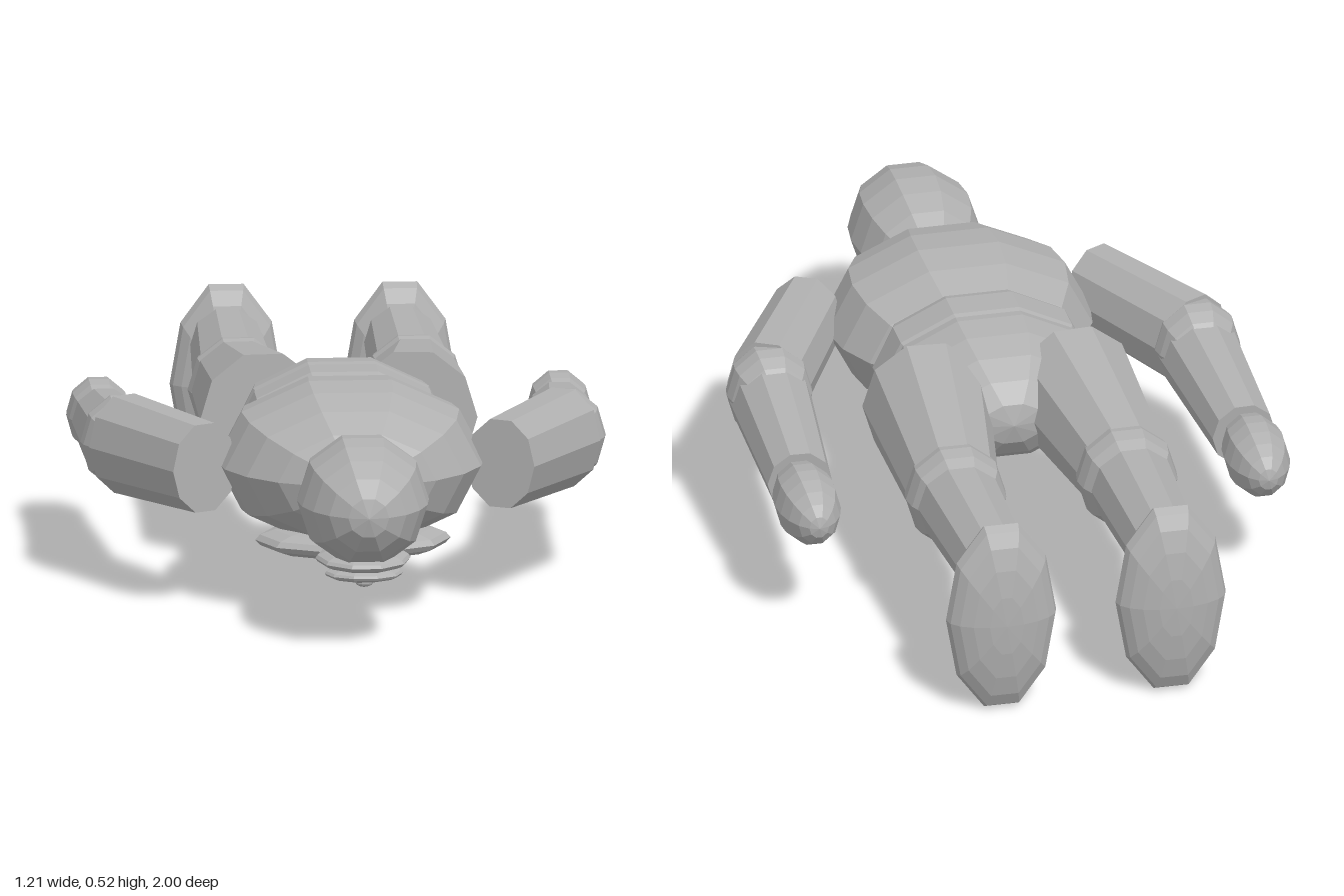
import * as THREE from 'three';

const SIDES = 10;

export function createModel() {
  const model = new THREE.Group();
  model.name = 'lyingFigure';
  const grey = new THREE.MeshStandardMaterial({ color: 0xb0b0b0 });
  grey.name = 'plain grey';
  grey.flatShading = true;

  function add(name, geometry, position) {
    const mesh = new THREE.Mesh(geometry, grey);
    mesh.name = name;
    mesh.position.set(...position);
    model.add(mesh);
    return mesh;
  }

  // Faceted ellipsoid, with its poles along the body (z) or upright (y)
  function ellipsoid(name, position, radii, pole = 'z') {
    const g = new THREE.SphereGeometry(1, SIDES, SIDES);
    if (pole === 'z') g.rotateX(Math.PI / 2);
    g.scale(...radii);
    return add(name, g, position);
  }

  // Tapered limb from one point to another; tall stretches its section in y
  function limb(name, from, to, r1, r2, tall = 1) {
    const a = new THREE.Vector3(...from);
    const b = new THREE.Vector3(...to);
    const g = new THREE.CylinderGeometry(r2, r1, a.distanceTo(b), SIDES);
    g.rotateY(Math.PI / 2).rotateX(Math.PI / 2).scale(1, tall, 1);
    const mesh = add(name, g, a.clone().add(b).multiplyScalar(0.5).toArray());
    mesh.lookAt(b);
    return mesh;
  }

  // Head, with the face turned down
  ellipsoid('head', [0, 0.33, 0.785], [0.152, 0.152, 0.213]);
  ellipsoid('muzzle', [0, 0.194, 0.785], [0.11, 0.024, 0.135], 'y');
  ellipsoid('mouth', [0, 0.163, 0.81], [0.09, 0.018, 0.07], 'y');
  ellipsoid('nose', [0, 0.145, 0.83], [0.02, 0.01, 0.012], 'y');
  limb('neck', [0, 0.33, 0.54], [0, 0.33, 0.72], 0.095, 0.095);

  // Trunk
  ellipsoid('torso', [0, 0.33, 0.35], [0.31, 0.195, 0.3]);
  ellipsoid('bellyPlate', [0, 0.163, 0.438], [0.225, 0.04, 0.155], 'y');
  ellipsoid('bellyButton', [0, 0.105, 0.408], [0.045, 0.014, 0.025], 'y');
  ellipsoid('pelvis', [0, 0.333, 0.03], [0.25, 0.165, 0.245]);

  // Waist band with softened rims
  const band = [[0, -0.065], [0.238, -0.065], [0.25, -0.04], [0.25, 0.04], [0.238, 0.065], [0, 0.065]];
  const waist = new THREE.LatheGeometry(band.map(([r, h]) => new THREE.Vector2(r, h)), SIDES);
  waist.rotateY(Math.PI / 2).rotateX(Math.PI / 2).scale(1, 0.665, 1);
  add('waistBand', waist, [0, 0.333, 0.107]);

  // Arms and legs, mirrored
  for (const [side, s] of [['left', 1], ['right', -1]]) {
    limb(side + 'UpperArm', [s * 0.34, 0.332, 0.43], [s * 0.505, 0.325, 0.12], 0.086, 0.095, 1.25);
    ellipsoid(side + 'Elbow', [s * 0.505, 0.325, 0.1], [0.1, 0.113, 0.1]);
    limb(side + 'Forearm', [s * 0.505, 0.315, 0.1], [s * 0.524, 0.288, -0.29], 0.096, 0.075, 1.05);
    ellipsoid(side + 'Hand', [s * 0.53, 0.283, -0.385], [0.075, 0.087, 0.135]);

    limb(side + 'Thigh', [s * 0.172, 0.338, -0.058], [s * 0.205, 0.32, -0.48], 0.148, 0.107, 1.07);
    ellipsoid(side + 'Knee', [s * 0.202, 0.316, -0.485], [0.117, 0.125, 0.12]);
    limb(side + 'Shin', [s * 0.204, 0.317, -0.485], [s * 0.2, 0.332, -0.92], 0.102, 0.084, 1.02);
    ellipsoid(side + 'Foot', [s * 0.2, 0.232, -0.936], [0.13, 0.244, 0.064]);
  }
  return model;
}
